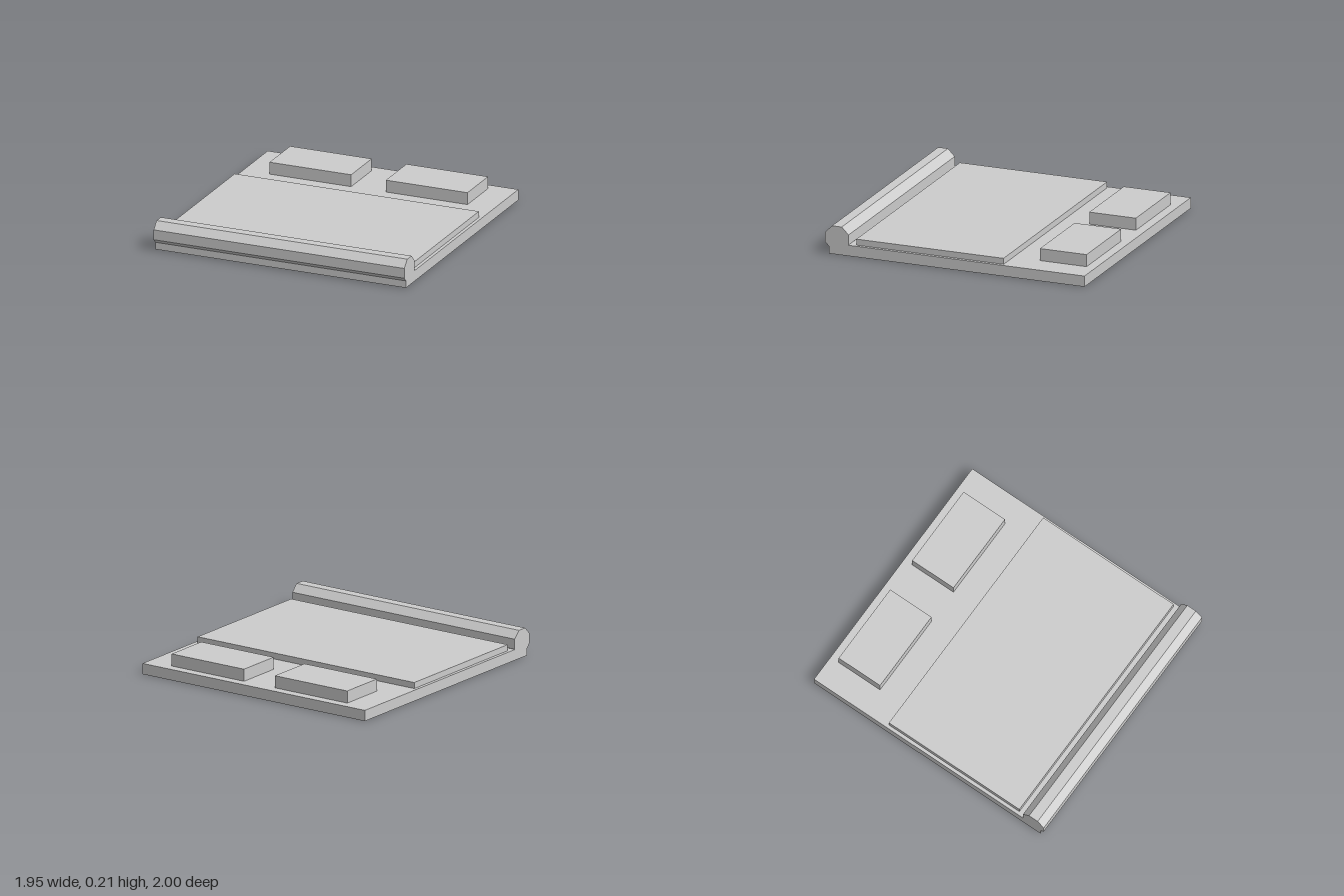
import * as THREE from 'three';

export function createModel() {
  const model = new THREE.Group();
  model.name = 'steppedTray';

  const grey = new THREE.MeshStandardMaterial({ color: 0xcccccc, side: THREE.DoubleSide, flatShading: true });
  grey.name = 'light grey';

  const add = (name, geometry) => {
    const mesh = new THREE.Mesh(geometry, grey);
    mesh.name = name;
    model.add(mesh);
  };

  // Box given by its lower and upper corners
  const block = (x0, x1, y0, y1, z0, z1) =>
    new THREE.BoxGeometry(x1 - x0, y1 - y0, z1 - z0)
      .translate((x0 + x1) / 2, (y0 + y1) / 2, (z0 + z1) / 2);

  // Thin-walled base, open underneath: drop the box's bottom face
  const base = block(-0.975, 0.975, 0, 0.08, -1, 0.97);
  const index = Array.from(base.index.array);
  index.splice(18, 6);
  base.setIndex(index);
  base.clearGroups();
  add('base', base);

  // Wide raised panel and the two pads behind it
  add('panel', block(-0.95, 0.95, 0.08, 0.125, -0.365, 0.77));
  add('leftPad', block(0.135, 0.77, 0.08, 0.17, -0.93, -0.57));
  add('rightPad', block(-0.77, -0.135, 0.08, 0.17, -0.93, -0.57));

  // Octagonal bar along the front edge, sunk into the base
  const radius = 0.09 / Math.cos(Math.PI / 8);
  const bar = new THREE.CylinderGeometry(radius, radius, 1.95, 8, 1, false, Math.PI / 8)
    .rotateZ(Math.PI / 2)
    .translate(0, 0.12, 0.91);
  add('frontBar', bar);

  return model;
}
